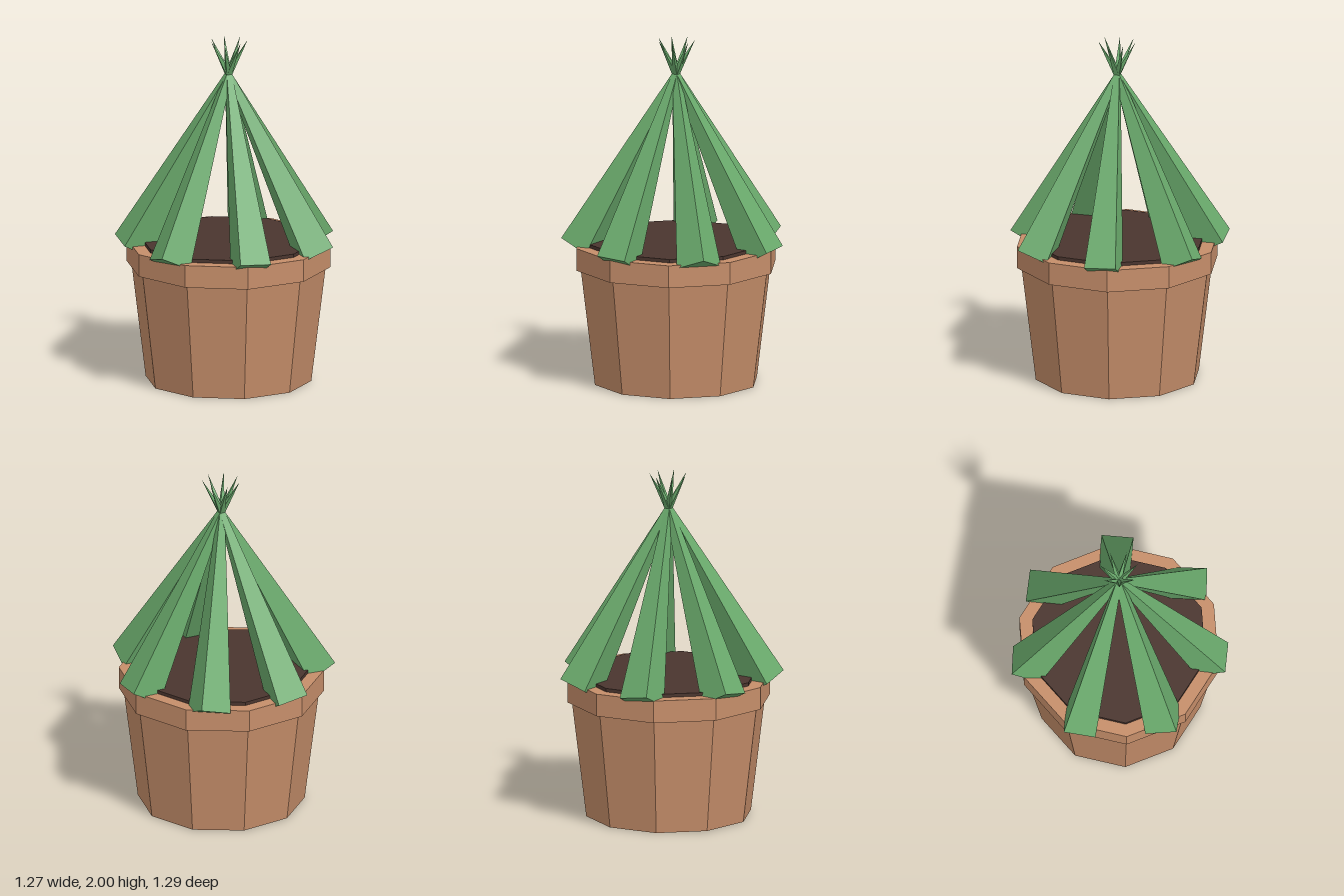
import * as THREE from 'three';

const SIDES = 10;
const CENTRE_X = -0.03;

export function createModel() {
  const flat = (name, color) => {
    const m = new THREE.MeshStandardMaterial({ color, flatShading: true });
    m.name = name;
    return m;
  };
  const terracotta = flat('terracotta', 0xc68e6a);
  const earth = flat('earth', 0x4a352e);
  const green = flat('leaf green', 0x6aaa6c);

  const plant = new THREE.Group();
  plant.name = 'pottedPlant';

  // ten-sided tapered ring between two heights
  const drum = (name, rTop, rBottom, y0, y1, material) => {
    const mesh = new THREE.Mesh(new THREE.CylinderGeometry(rTop, rBottom, y1 - y0, SIDES), material);
    mesh.name = name;
    mesh.position.set(CENTRE_X, (y0 + y1) / 2, 0);
    plant.add(mesh);
  };
  drum('potBody', 0.56, 0.477, 0, 0.677, terracotta);
  drum('potRim', 0.586, 0.586, 0.675, 0.805, terracotta);
  drum('soil', 0.51, 0.51, 0.7, 0.825, earth);

  // seven long four-sided spikes leaning inward and crossing near the top
  const leaves = new THREE.Group();
  leaves.name = 'leaves';
  leaves.position.x = CENTRE_X;
  plant.add(leaves);
  const up = new THREE.Vector3(0, 1, 0);
  for (let i = 0; i < 7; i++) {
    const a = (i / 7) * Math.PI * 2;
    const at = (r, y) => new THREE.Vector3(r * Math.cos(a), y, r * Math.sin(a));
    const base = at(0.545, 0.784);
    const tip = at(-0.11, 2);
    const axis = tip.clone().sub(base);
    const leaf = new THREE.Mesh(new THREE.ConeGeometry(0.13, axis.length(), 4), green);
    leaf.name = `leaf${i + 1}`;
    leaf.position.copy(base).add(tip).multiplyScalar(0.5);
    leaf.quaternion.setFromUnitVectors(up, axis.normalize());
    leaves.add(leaf);
  }
  return plant;
}
